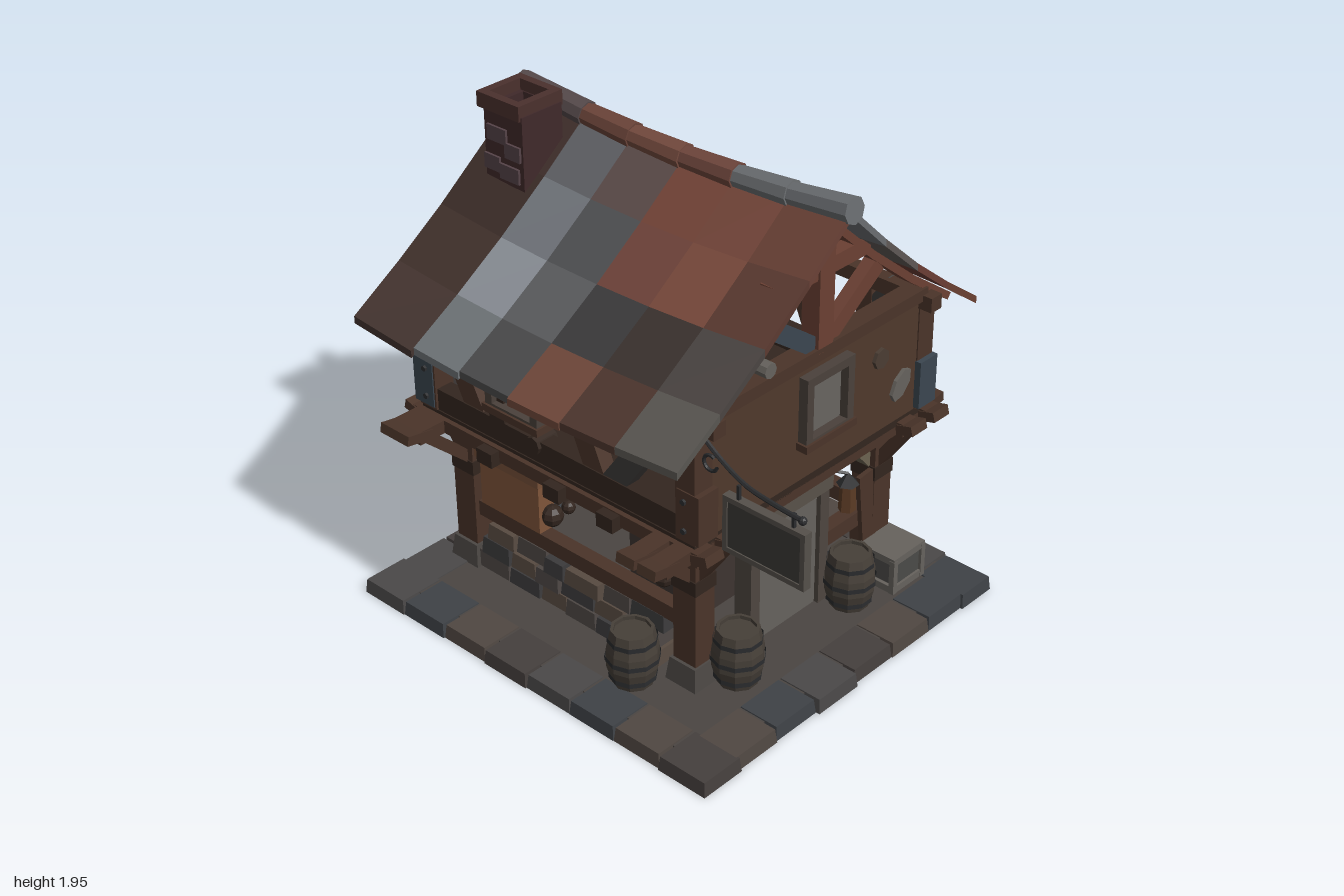
import * as THREE from 'three';

const WOOD = 0x4a3429, DARK = 0x33261f, RED = 0x6b4033, STONE = 0x4b4744, IRON = 0x2b2c2e, BLUE = 0x3b4650, GREY = 0x66625d;
let seed = 7;
const rnd = (a = 0, b = 1) => { seed = (seed * 16807) % 2147483647; return a + (b - a) * seed / 2147483647; };
const V = (x, y, z) => new THREE.Vector3(x, y, z);

export function createModel() {
  const root = new THREE.Group();
  const mats = {};
  const mat = (c) => mats[c] ??= new THREE.MeshStandardMaterial({ color: c, flatShading: true, side: THREE.DoubleSide });
  const add = (name, geo, color, x = 0, y = 0, z = 0) => {
    const m = new THREE.Mesh(geo, mat(color));
    m.name = name;
    m.position.set(x, y, z);
    root.add(m);
    return m;
  };
  // Box given by its minimum and maximum corners
  const box = (name, x0, x1, y0, y1, z0, z1, color) =>
    add(name, new THREE.BoxGeometry(x1 - x0, y1 - y0, z1 - z0), color, (x0 + x1) / 2, (y0 + y1) / 2, (z0 + z1) / 2);
  // Timber running between two points
  const beam = (name, a, b, w, d, color = WOOD) => {
    const dir = b.clone().sub(a);
    const m = add(name, new THREE.BoxGeometry(w, dir.length(), d), color);
    m.position.copy(a).add(b).multiplyScalar(0.5);
    m.quaternion.setFromUnitVectors(V(0, 1, 0), dir.normalize());
    return m;
  };
  // Box whose corners are moved by a rule of (u, v, w), each 0..1
  const warped = (name, rule, color) => {
    const g = new THREE.BoxGeometry(1, 1, 1), p = g.attributes.position;
    for (let i = 0; i < p.count; i++) {
      const q = rule(p.getX(i) + 0.5, p.getY(i) + 0.5, p.getZ(i) + 0.5);
      p.setXYZ(i, q.x, q.y, q.z);
    }
    g.computeVertexNormals();
    return add(name, g, color);
  };
  // Rough stone tapering towards its top
  const stone = (name, x0, x1, y0, y1, z0, z1, color, t = 0.006) => warped(name, (u, v, w) => V(
    x0 + (x1 - x0) * u + (0.5 - u) * 2 * t * v, y0 + (y1 - y0) * v, z0 + (z1 - z0) * w + (0.5 - w) * 2 * t * v), color);

  // Paved base: inner slab with a rim of loose stones
  const paving = [0x4a4848, 0x3e4246, 0x504742, 0x453f3d];
  box('baseSlab', -0.9, 0.72, 0, 0.055, -0.72, 0.79, 0x4a4542);
  for (let i = 0; i < 8; i++) {
    const x = -0.99 + i * 0.2235;
    stone('frontPaving', x, x + 0.222, 0, 0.06, 0.68, 0.88 - rnd(0, 0.015), paving[i % 4]);
    stone('backPaving', x, x + 0.222, 0, 0.06, -0.8 + rnd(0, 0.03), -0.6, paving[(i + 2) % 4]);
  }
  for (let i = 0; i < 6; i++) {
    const z = -0.62 + i * 0.22;
    stone('rightPaving', 0.6, 0.8 - rnd(0, 0.02), 0, 0.06, z, z + 0.219, paving[(i + 1) % 4]);
    stone('leftPaving', -0.99 + rnd(0, 0.02), -0.78, 0, 0.06, z, z + 0.219, paving[(i + 3) % 4]);
  }

  // Lower posts with footings, iron straps and brackets
  for (const [x, sx] of [[-0.8, -1], [0.36, 1]]) for (const [z, sz] of [[0.455, 1], [-0.555, -1]]) {
    stone('postFooting', x - 0.075, x + 0.075, 0.05, 0.15, z - 0.075, z + 0.075, STONE, 0.012);
    box('lowerPost', x - 0.055, x + 0.055, 0.1, 0.76, z - 0.05, z + 0.05, WOOD);
    box('postStrap', x - 0.06, x + 0.06, 0.47, 0.53, z - 0.055, z + 0.055, DARK);
    beam('outwardBracket', V(x + sx * 0.03, 0.53, z), V(x + sx * 0.17, 0.73, z), 0.045, 0.06);
    beam('outwardBracket', V(x, 0.53, z + sz * 0.03), V(x, 0.73, z + sz * 0.25), 0.06, 0.045);
    beam('inwardBracket', V(x - sx * 0.03, 0.53, z), V(x - sx * 0.22, 0.73, z), 0.045, 0.06, 0x6b6250);
    beam('inwardBracket', V(x, 0.53, z - sz * 0.03), V(x, 0.73, z - sz * 0.2), 0.06, 0.045, 0x6b6250);
  }
  for (const z of [0.455, -0.555]) box('lowerRail', -0.75, 0.34, 0.28, 0.345, z - 0.03, z + 0.03, WOOD);
  box('leftRail', -0.83, -0.77, 0.28, 0.345, -0.55, 0.45, WOOD);
  box('rightRail', 0.33, 0.39, 0.28, 0.345, -0.55, -0.2, WOOD);

  // Low dry stone wall at the front
  for (let r = 0; r < 3; r++) for (let i = 0, x = -0.74 + r * 0.03; i < 6; i++) {
    const w = rnd(0.1, 0.18), y = 0.06 + r * 0.075;
    stone('wallStone', x, x + w, y, y + rnd(0.062, 0.073), 0.39 + rnd(0, 0.03), 0.52 - rnd(0, 0.03), [0x4c4643, 0x3b3a3b, 0x574a41][(i + r) % 3]);
    x += w + 0.004;
  }
  // Shutter board, inner booth and side door
  box('countertopBoard', -0.72, -0.4, 0.35, 0.56, 0.41, 0.49, 0x80553a);
  box('countertopLid', -0.74, -0.39, 0.56, 0.61, 0.4, 0.5, 0x765038);
  box('booth', -0.23, 0.14, 0.06, 0.56, -0.22, 0.18, 0x3d3430);
  box('boothLintel', -0.26, 0.16, 0.56, 0.62, -0.24, 0.2, 0x4a423d);
  box('sideDoor', 0.35, 0.39, 0.06, 0.58, -0.19, 0.17, GREY);
  box('doorLintel', 0.32, 0.42, 0.57, 0.64, -0.25, 0.2, 0x595149);
  for (const z of [-0.22, 0.17]) box('doorJamb', 0.33, 0.41, 0.06, 0.58, z - 0.02, z + 0.03, 0x4e4640);
  // Jars on the counter and a log end
  for (const [x, y, z, r] of [[-0.38, 0.42, 0.44, 0.045], [-0.29, 0.5, 0.44, 0.028], [0.2, 0.42, 0.44, 0.04]])
    add('jar', new THREE.SphereGeometry(r, 8, 6), DARK, x, y, z);
  add('logEnd', new THREE.CylinderGeometry(0.035, 0.035, 0.1, 8), DARK, -0.29, 0.85, 0.56).rotation.x = Math.PI / 2;

  // Jettied floor with projecting beam ends
  box('upperFloor', -0.9, 0.5, 0.74, 0.78, -0.71, 0.6, DARK);
  for (const z of [0.58, 0.455, -0.555, -0.69]) {
    box('floorBeam', -0.94, 0.53, 0.71, 0.765, z - 0.04, z + 0.04, WOOD);
    for (const [x, s] of [[-0.9, -1], [0.5, 1]]) beam('beamEnd', V(x, 0.735, z), V(x + s * 0.075, 0.755, z), 0.04, 0.09, WOOD);
  }
  for (const x of [-0.87, -0.8, 0.36, 0.46]) {
    box('crossBeam', x - 0.04, x + 0.04, 0.71, 0.765, -0.74, 0.74, WOOD);
    for (const s of [-1, 1]) beam('crossBeamEnd', V(x, 0.735, s * 0.68), V(x, 0.755, s * 0.8), 0.085, 0.04, WOOD);
  }
  for (const x of [-0.5, -0.15, 0.12]) box('joist', x - 0.04, x + 0.04, 0.7, 0.76, -0.76, 0.66, DARK);

  // Long sides: timber frame with braces
  for (const [z, s] of [[0.56, 1], [-0.66, -1]]) {
    box('sillBeam', -0.88, 0.5, 0.78, 0.87, z - 0.035, z + 0.035, DARK);
    box('topPlate', -0.92, 0.56, 1.215, 1.275, z - s * 0.02 - 0.03, z - s * 0.02 + 0.03, WOOD);
    for (const x of [-0.86, 0.46]) {
      box('cornerPost', x - 0.045, x + 0.045, 0.78, 1.23, z - 0.045, z + 0.045, WOOD);
      const front = s > 0 && x > 0, o = x > 0 ? 0.015 : -0.015;
      box('cornerPlate', x + o - 0.052, x + o + 0.052, 0.79, 0.99, z - 0.05, z + 0.05, front ? WOOD : BLUE);
      for (const y of [0.83, 0.95])
        add('bolt', new THREE.CylinderGeometry(0.012, 0.012, 0.12, 6), IRON, x, y, z).rotation.x = Math.PI / 2;
    }
    for (const [x0, x1] of [[-0.81, -0.6], [-0.16, 0.02], [0.38, 0.08]])
      beam('wallBrace', V(x0, 1.25, z), V(x1, 0.83, z), 0.095, 0.06, x0 > 0 ? 0x3d3a38 : WOOD);
    box('windowPost', -0.53, -0.45, 0.82, 1.24, z - 0.035, z + 0.035, DARK);
    if (s < 0) box('backPost', 0.2, 0.27, 0.82, 1.24, z - 0.035, z + 0.035, WOOD);
  }
  // Windows: frame extruded with an opening, and a pane behind it
  const windowFrame = (name, w, h, x, y, z, turn) => {
    const sh = new THREE.Shape([[-w, -h], [w, -h], [w, h], [-w, h]].map(([a, b]) => new THREE.Vector2(a / 2, b / 2)));
    const k = 0.035, a = w / 2 - k, b = h / 2 - k;
    sh.holes.push(new THREE.Path([[-a, -b], [-a, b], [a, b], [a, -b]].map((p) => new THREE.Vector2(...p))));
    add(name + 'Frame', new THREE.ExtrudeGeometry(sh, { depth: 0.05, bevelEnabled: false }), 0x4a413b, x, y, z).rotation.y = turn;
    add(name + 'Pane', new THREE.BoxGeometry(w - 0.05, h - 0.05, 0.03), 0x686460, x, y, z).rotation.y = turn;
    add(name + 'Sill', new THREE.BoxGeometry(w + 0.02, 0.03, 0.12), WOOD, x, y - h / 2 + 0.01, z).rotation.y = turn;
  };
  windowFrame('frontWindow', 0.27, 0.26, -0.385, 1.05, 0.57, 0);
  windowFrame('sideWindow', 0.26, 0.29, 0.49, 1.07, -0.07, Math.PI / 2);

  // Gable walls
  box('rightWall', 0.44, 0.5, 0.78, 1.28, -0.69, 0.58, 0x4f392c);
  const gable = new THREE.Shape([[0.58, 0.78], [0.58, 1.25], [0.5, 1.31], [-0.05, 1.46], [-0.25, 1.52], [-0.33, 1.52], [-0.69, 1.26], [-0.69, 0.78]].map(([z, y]) => new THREE.Vector2(-z, y)));
  add('leftWall', new THREE.ExtrudeGeometry(gable, { depth: 0.05, bevelEnabled: false }), 0x3d3836, -0.9).rotation.y = Math.PI / 2;
  for (const z of [-0.3, 0.2]) box('leftWallPost', -0.92, -0.88, 0.78, 1.36, z - 0.035, z + 0.035, 0x3b3d40);
  for (const [y, z, r, tilt, color] of [[1.1, -0.39, 0.042, 0, 0x4a3c33], [0.935, -0.515, 0.07, -0.7, GREY]]) {
    const p = add('plasterPatch', new THREE.CylinderGeometry(r, r, 0.02, 7), color, 0.505, y, z);
    p.rotation.set(tilt, 0, Math.PI / 2);
    p.scale.z = r > 0.05 ? 0.6 : 1;
  }

  // Sagging roof: boards in patches on both slopes, a little hollow in section
  const EDGES = [-0.97, -0.64, -0.4, -0.15, 0.1, 0.35, 0.62], ROWS = 4;
  const sag = (x) => { const u = (x + 0.175) / 0.795; return 0.05 * (1 - u * u); };
  const roofPoint = (x, t, side, lift) => {
    const run = ((side > 0 ? 0.88 : 0.755) + (side > 0 ? 0.5 : 1.4) * sag(x)) * t;
    return V(x, 1.865 - sag(x) * (1 - 0.7 * t) - 0.638 * t - 0.032 * Math.sin(Math.PI * t) + lift, -0.055 + side * run);
  };
  const slopeColors = {
    1: [[0x3f2e2a, 0x5e6064, 0x5a4a48, 0x744438, 0x75463a, 0x6a4136], [0x3a2b27, 0x70747a, 0x4f5052, 0x70443a, 0x7a4a3c, 0x5c3a31],
      [0x40302b, 0x8a8f96, 0x5b5c5f, 0x3c3b3c, 0x3b322f, 0x4b4542], [0x453530, 0x6f7478, 0x4a4a4b, 0x70483a, 0x4d362e, 0x595651]],
    '-1': [[0x4a4447, 0x70443a, 0x7c4c40, 0x7c4c40, 0x6c7a86, 0x6a6d70], [0x55555a, 0x6c5048, 0x855144, 0x80503f, 0x7a483a, 0x5f5855],
      [0x4e4c4e, 0x5a5c58, 0x3d4248, 0x75493c, 0x6b4034, 0x6a3d34], [0x5c5850, 0x4a5054, 0x6e452f, 0x34424a, 0x6a4638, 0x6a4032]],
  };
  for (const side of [1, -1]) for (let c = 0; c < 6; c++) {
    const eave = 1 + rnd(-0.015, 0.015), x0 = EDGES[c], x1 = EDGES[c + 1];
    for (let r = 0; r < ROWS; r++) {
      const a = r / ROWS, b = r === ROWS - 1 ? eave : (r + 1) / ROWS;
      warped('roofBoard', (u, v, w) => roofPoint(x0 + (x1 - x0) * u, a + (b - a) * (side > 0 ? w : 1 - w), side, (v - 1) * 0.03), slopeColors[side][r][c]);
    }
  }
  // Ridge caps
  for (let c = 0; c < 6; c++) {
    const x = (EDGES[c] + EDGES[c + 1]) / 2;
    const cap = add('ridgeCap', new THREE.CylinderGeometry(0.045, 0.052, EDGES[c + 1] - EDGES[c] + 0.015, 8), [0x55494a, 0x6b4439, 0x744a3e, 0x6f463c, 0x6a6d70, 0x6a6d70][c], x, 1.865 - sag(x), -0.055);
    cap.rotation.z = Math.PI / 2 + Math.atan2(sag(x - 0.1) - sag(x + 0.1), 0.2);
  }

  // Trusses, with rafters following the underside of the roof
  for (const x of [-0.86, 0.48]) {
    box('tieBeam', x - 0.04, x + 0.04, 1.25, 1.3, -0.64, 0.54, WOOD);
    box('kingPost', x - 0.04, x + 0.04, 1.28, 1.79, -0.095, -0.015, RED);
    box('collarBeam', x - 0.03, x + 0.03, 1.57, 1.635, -0.3, 0.22, RED);
    for (const s of [-1, 1]) {
      beam('strut', V(x, 1.3, -0.055 + s * 0.03), V(x, 1.5, -0.055 + s * 0.31), 0.05, 0.07, s > 0 ? BLUE : RED);
      for (let i = 0; i < 3; i++)
        beam('rafter', roofPoint(x, 0.04 + i * 0.3, s, -0.055), roofPoint(x, 0.34 + i * 0.3, s, -0.055), 0.06, 0.03, RED);
    }
  }
  add('purlin', new THREE.CylinderGeometry(0.03, 0.03, 0.2, 8), GREY, 0.5, 1.4, 0.33).rotation.z = Math.PI / 2;

  // Hollow chimney with a projecting cap
  const tube = (name, o, x, y0, y1, k, color) => {
    const sh = new THREE.Shape([[-o, -o], [o, -o], [o, o], [-o, o]].map((p) => new THREE.Vector2(...p)));
    sh.holes.push(new THREE.Path([[-k, -k], [-k, k], [k, k], [k, -k]].map((p) => new THREE.Vector2(...p))));
    add(name, new THREE.ExtrudeGeometry(sh, { depth: y1 - y0, bevelEnabled: false }), color, x, y0, 0.14).rotation.x = -Math.PI / 2;
  };
  tube('chimneyStack', 0.1, -0.77, 1.5, 1.9, 0.07, 0x40292a);
  tube('chimneyCap', 0.11, -0.785, 1.885, 1.945, 0.075, 0x4a302d);
  for (const [x, y, w] of [[-0.83, 1.68, 0.08], [-0.72, 1.75, 0.08], [-0.8, 1.8, 0.1], [-0.74, 1.66, 0.1]])
    box('chimneyStone', x - w / 2, x + w / 2, y - 0.03, y + 0.03, 0.2, 0.25, 0x554348);

  // Barrels
  const staves = [[0, 0], [0.078, 0], [0.1, 0.08], [0.1, 0.15], [0.082, 0.235], [0.07, 0.235], [0.07, 0.22], [0, 0.22]].map((p) => new THREE.Vector2(...p));
  for (const [x, z] of [[0.21, 0.62], [0.49, 0.36], [0.49, -0.28]]) {
    add('barrel', new THREE.LatheGeometry(staves, 10), 0x463f38, x, 0.06, z);
    for (const [y, r] of [[0.035, 0.088], [0.115, 0.101], [0.195, 0.091]])
      add('barrelHoop', new THREE.CylinderGeometry(r + 0.004, r + 0.004, 0.02, 10, 1, true), IRON, x, 0.06 + y, z);
  }
  // Crate with a raised frame, and a plank leaning behind it
  box('crate', 0.42, 0.58, 0.06, 0.21, -0.6, -0.44, 0x4b4a48);
  for (const y of [0.075, 0.205]) box('crateBand', 0.41, 0.59, y - 0.015, y + 0.015, -0.615, -0.425, GREY);
  for (const x of [0.42, 0.58]) for (const z of [-0.605, -0.435]) box('cratePost', x - 0.012, x + 0.012, 0.06, 0.21, z - 0.012, z + 0.012, GREY);
  beam('leaningPlank', V(0.41, 0.06, -0.5), V(0.4, 0.52, -0.46), 0.02, 0.08);

  // Lantern beside the door
  add('lantern', new THREE.CylinderGeometry(0.03, 0.035, 0.12, 6), 0x5a3a24, 0.44, 0.51, -0.31);
  add('lanternRoof', new THREE.ConeGeometry(0.045, 0.05, 6), IRON, 0.44, 0.59, -0.31);
  beam('lanternHook', V(0.44, 0.61, -0.31), V(0.38, 0.63, -0.25), 0.01, 0.01, IRON);

  // Hanging blank sign on a scrolled iron arm
  const arm = new THREE.CatmullRomCurve3([V(0.5, 1.24, 0.58), V(0.6, 1.17, 0.58), V(0.72, 1.125, 0.59), V(0.85, 1.115, 0.6), V(0.99, 1.115, 0.61)]);
  add('signArm', new THREE.TubeGeometry(arm, 16, 0.009, 6), IRON);
  add('armTip', new THREE.SphereGeometry(0.016, 8, 6), IRON, 0.985, 1.115, 0.61);
  add('armScroll', new THREE.TorusGeometry(0.03, 0.007, 6, 14, 5), IRON, 0.555, 1.135, 0.58).rotation.z = 1;
  box('signBoard', 0.65, 0.99, 0.85, 1.05, 0.585, 0.61, 0x3a3835);
  for (const y of [0.85, 1.055]) box('signRail', 0.64, 1, y - 0.01, y + 0.01, 0.58, 0.615, 0x55504a);
  for (const x of [0.65, 0.99]) box('signStile', x - 0.01, x + 0.01, 0.85, 1.055, 0.58, 0.615, 0x55504a);
  for (const x of [0.7, 0.94]) beam('signHanger', V(x, 1.05, 0.6), V(x, 1.12, 0.6), 0.012, 0.012, IRON);
  return root;
}
